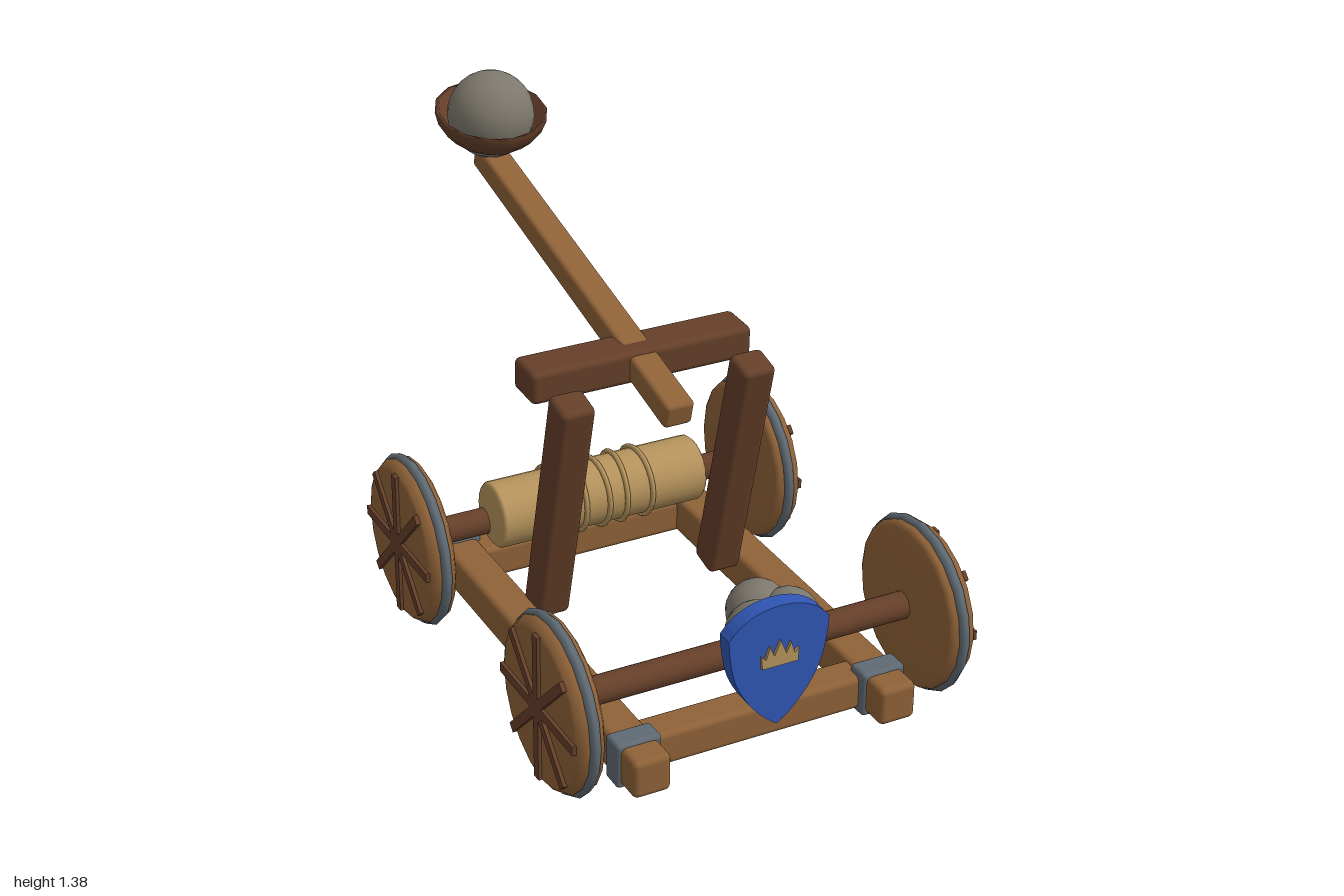
import * as THREE from 'three';
import { RoundedBoxGeometry } from 'three/addons/geometries/RoundedBoxGeometry.js';

const paint = (name, color, extra = {}) => {
  const m = new THREE.MeshStandardMaterial({ color, ...extra });
  m.name = name;
  return m;
};

export function createModel() {
  const wood = paint('oak', 0x8f6238);
  const dark = paint('dark timber', 0x66402a);
  const bowlWood = paint('bowl timber', 0x66402a, { side: THREE.DoubleSide });
  const tan = paint('rope tan', 0xb5935c);
  const iron = paint('iron', 0x5f6a73);
  const stone = paint('stone', 0x7d786d);
  const blue = paint('shield blue', 0x3056b4);

  const model = new THREE.Group();
  model.name = 'catapult';

  const add = (name, geometry, material, x, y, z, parent = model) => {
    const m = new THREE.Mesh(geometry, material);
    m.name = name;
    m.position.set(x, y, z);
    parent.add(m);
    return m;
  };
  // Softly rounded timber, optionally pitched about x
  const beam = (name, material, [w, h, d], [x, y, z], pitch = 0, r = 0.018) => {
    const m = add(name, new RoundedBoxGeometry(w, h, d, 2, r), material, x, y, z);
    m.rotation.x = pitch;
    return m;
  };

  // Chassis
  for (const s of [-1, 1]) {
    beam('sideRail', wood, [0.112, 0.115, 1.375], [s * 0.374, 0.098, 0.271]);
    for (const z of [0.845, -0.317])
      beam('ironBand', iron, [0.133, 0.135, 0.074], [s * 0.374, 0.098, z], 0, 0.012);
    beam('post', dark, [0.103, 0.76, 0.1], [s * 0.277, 0.495, 0.198], 0.243);
  }
  for (const z of [0.807, -0.272])
    beam('crossBeam', wood, [0.68, 0.103, 0.102], [0, 0.094, z]);

  // Throwing frame and arm
  beam('topBar', dark, [0.68, 0.098, 0.127], [0, 0.857, 0.108], 0.03);
  beam('throwingArm', wood, [0.088, 0.078, 1.295], [0, 0.957, -0.246], 0.246, 0.014);

  // Wheels and axles
  const wheelProfile = [[0, -0.045], [0.13, -0.043], [0.225, -0.036], [0.242, -0.026],
    [0.243, 0.018], [0.228, 0.04], [0.215, 0.045], [0, 0.045]]
    .map(([r, y]) => new THREE.Vector2(r, y));
  const discGeo = new THREE.LatheGeometry(wheelProfile, 20).rotateZ(-Math.PI / 2);
  const tyreGeo = new THREE.TorusGeometry(0.239, 0.017, 6, 20).rotateY(Math.PI / 2);
  const spokeGeo = new THREE.BoxGeometry(0.018, 0.44, 0.028);
  const axleGeo = new THREE.CylinderGeometry(0.04, 0.04, 1.06, 16).rotateZ(Math.PI / 2);
  for (const z of [0.744, -0.199]) {
    add('axle', axleGeo, dark, 0, 0.26, z);
    for (const s of [-1, 1]) {
      const wheel = new THREE.Group();
      wheel.name = 'wheel';
      wheel.position.set(s * 0.555, 0.257, z);
      if (s < 0) wheel.rotation.y = Math.PI;
      model.add(wheel);
      add('wheelDisc', discGeo, wood, 0, 0, 0, wheel);
      add('tyre', tyreGeo, iron, 0, 0, 0, wheel);
      for (let i = 0; i < 4; i++)
        add('spoke', spokeGeo, dark, 0.046, 0, 0, wheel).rotation.x = i * Math.PI / 4;
    }
  }

  // Winch drum with rope turns
  const drum = [[0, -0.33], [0.09, -0.33], [0.099, -0.32], [0.099, 0.32], [0.09, 0.33], [0, 0.33]]
    .map(([r, y]) => new THREE.Vector2(r, y));
  add('winchDrum', new THREE.LatheGeometry(drum, 20).rotateZ(-Math.PI / 2), tan, 0, 0.303, -0.15);
  const ropeGeo = new THREE.TorusGeometry(0.104, 0.008, 6, 24).rotateY(Math.PI / 2);
  [-0.14, -0.065, 0, 0.067, 0.14].forEach((x, i) => {
    add('ropeTurn', ropeGeo, tan, x, 0.303, -0.15).rotation.y = i % 2 ? -0.05 : 0.05;
  });

  // Bowl and loaded stone
  const bowl = [[0, -0.1], [0.07, -0.097], [0.125, -0.078], [0.158, -0.042], [0.171, 0],
    [0.158, 0], [0.143, -0.038], [0.11, -0.068], [0, -0.085]]
    .map(([r, y]) => new THREE.Vector2(r, y));
  add('bowl', new THREE.LatheGeometry(bowl, 14), bowlWood, 0, 1.262, -0.832).rotation.x = 0.225;
  add('loadedStone', new THREE.SphereGeometry(0.131, 24, 16), stone, 0, 1.25, -0.835);

  // Spare stones
  const spareGeo = new THREE.SphereGeometry(0.091, 20, 14);
  for (const [x, z] of [[0.15, 0.572], [0.093, 0.672], [0.205, 0.648]])
    add('spareStone', spareGeo, stone, x, 0.247, z);

  // Shield with a small crown
  const shield = new THREE.Shape();
  shield.moveTo(0, 0.145);
  shield.bezierCurveTo(0.045, 0.17, 0.115, 0.25, 0.134, 0.325);
  shield.quadraticCurveTo(0.148, 0.385, 0.15, 0.44);
  shield.bezierCurveTo(0.11, 0.495, 0.05, 0.511, 0, 0.511);
  shield.bezierCurveTo(-0.05, 0.511, -0.11, 0.495, -0.15, 0.44);
  shield.quadraticCurveTo(-0.148, 0.385, -0.134, 0.325);
  shield.bezierCurveTo(-0.115, 0.25, -0.045, 0.17, 0, 0.145);
  add('shield', new THREE.ExtrudeGeometry(shield, { depth: 0.05, bevelEnabled: false, curveSegments: 8 }),
    blue, 0, 0, 0.895);

  const crown = new THREE.Shape([[-0.054, 0.333], [0.054, 0.333], [0.056, 0.372], [0.043, 0.36],
    [0.032, 0.396], [0.018, 0.366], [0, 0.408], [-0.018, 0.366], [-0.032, 0.396],
    [-0.043, 0.36], [-0.056, 0.372]].map(([x, y]) => new THREE.Vector2(x, y)));
  add('crown', new THREE.ExtrudeGeometry(crown, { depth: 0.009, bevelEnabled: false }), tan, 0, 0, 0.945);

  return model;
}
